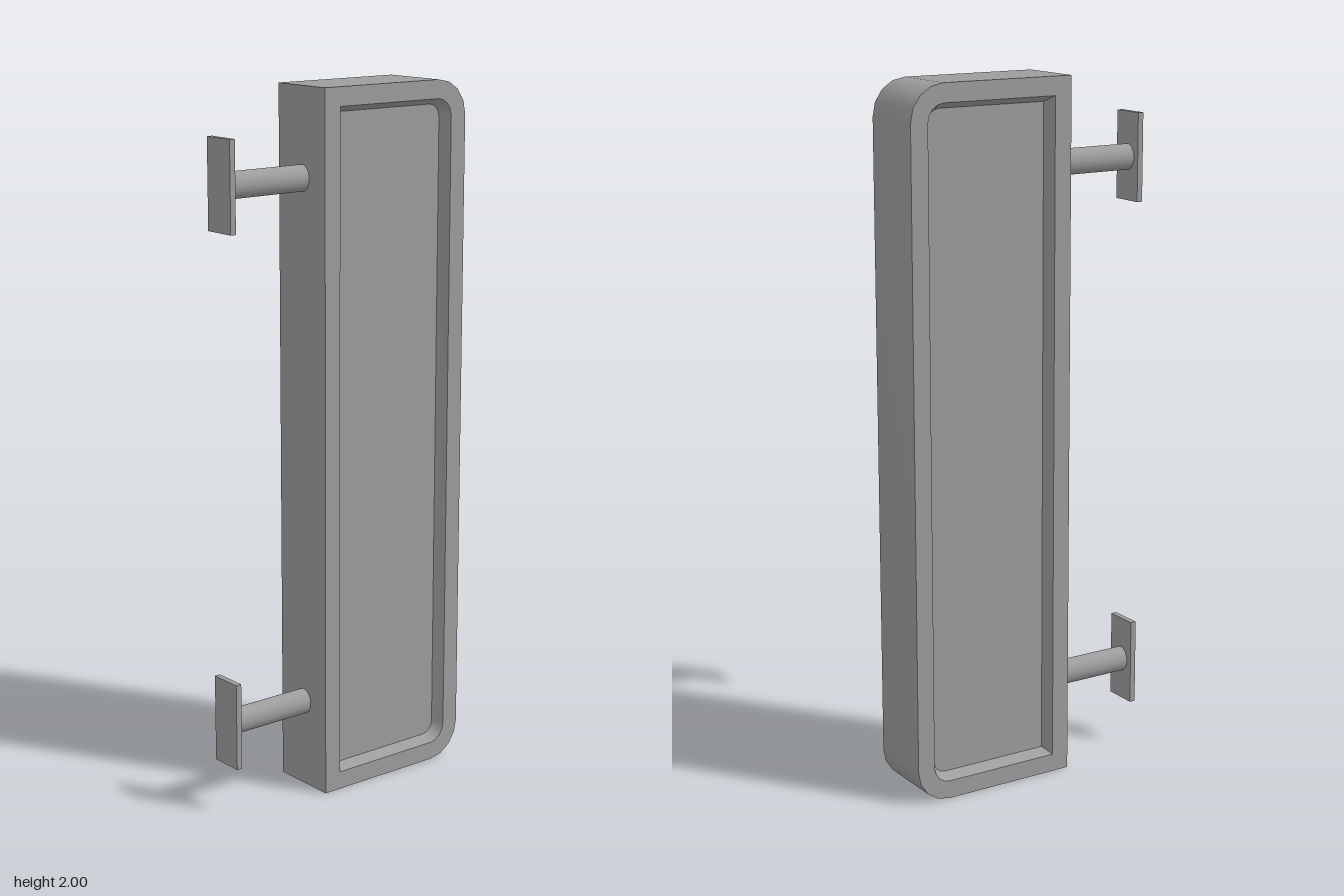
import * as THREE from 'three';
import { toCreasedNormals } from 'three/addons/utils/BufferGeometryUtils.js';

const material = new THREE.MeshStandardMaterial({ color: 0x9d9d9d });

const FRONT = 0.112, BACK = -0.388, HEIGHT = 2;

// Outline in the z-y plane: square corners at the front, rounded at the back.
function outline(inset, radius, segments = 4) {
  const points = [[FRONT - inset, HEIGHT - inset], [FRONT - inset, inset]];
  const cz = BACK + inset + radius;
  const corners = [[inset + radius, -Math.PI / 2], [HEIGHT - inset - radius, 0]];
  for (const [cy, start] of corners) {
    for (let i = 0; i <= segments; i++) {
      const a = start + (i / segments) * Math.PI / 2;
      points.push([cz - radius * Math.cos(a), cy + radius * Math.sin(a)]);
    }
  }
  return points;
}

// Housing: rings lofted from one recessed panel, round the rim, to the other.
function housingGeometry() {
  const outer = outline(0, 0.1);
  const opening = outline(0.052, 0.05);
  const floor = outline(0.069, 0.036);
  const rings = [
    [0.068, floor], [0.1, opening], [0.1, outer],
    [-0.1, outer], [-0.1, opening], [-0.068, floor],
  ];
  const n = outer.length;
  const positions = [], index = [];
  for (const [x, points] of rings) {
    for (const [z, y] of points) positions.push(x, y, z);
  }
  for (let r = 0; r < rings.length - 1; r++) {
    for (let i = 0; i < n; i++) {
      const a = r * n + i, b = r * n + (i + 1) % n;
      index.push(a, a + n, b, b, a + n, b + n);
    }
  }
  // Flat panels closing both recesses
  const last = (rings.length - 1) * n;
  for (let i = 1; i < n - 1; i++) {
    index.push(0, i, i + 1);
    index.push(last, last + i + 1, last + i);
  }
  const geometry = new THREE.BufferGeometry();
  geometry.setAttribute('position', new THREE.Float32BufferAttribute(positions, 3));
  geometry.setIndex(index);
  return toCreasedNormals(geometry, Math.PI / 5);
}

function addMesh(parent, name, geometry, x, y, z) {
  const mesh = new THREE.Mesh(geometry, material);
  mesh.name = name;
  mesh.position.set(x, y, z);
  parent.add(mesh);
}

export function createModel() {
  const model = new THREE.Group();
  model.name = 'wallSign';
  addMesh(model, 'housing', housingGeometry(), 0, 0, 0);

  // Two wall brackets: a slightly oval arm ending in a flat mounting plate
  const arm = new THREE.CylinderGeometry(0.032, 0.032, 0.27, 24)
    .rotateX(Math.PI / 2).scale(1, 1.15, 1);
  const plate = new THREE.BoxGeometry(0.1, 0.25, 0.017);
  for (const [name, y] of [['lowerBracket', 0.255], ['upperBracket', 1.755]]) {
    const bracket = new THREE.Group();
    bracket.name = name;
    bracket.position.y = y;
    addMesh(bracket, 'arm', arm, 0, -0.002, 0.238);
    addMesh(bracket, 'mountingPlate', plate, 0, 0, 0.3795);
    model.add(bracket);
  }
  return model;
}
